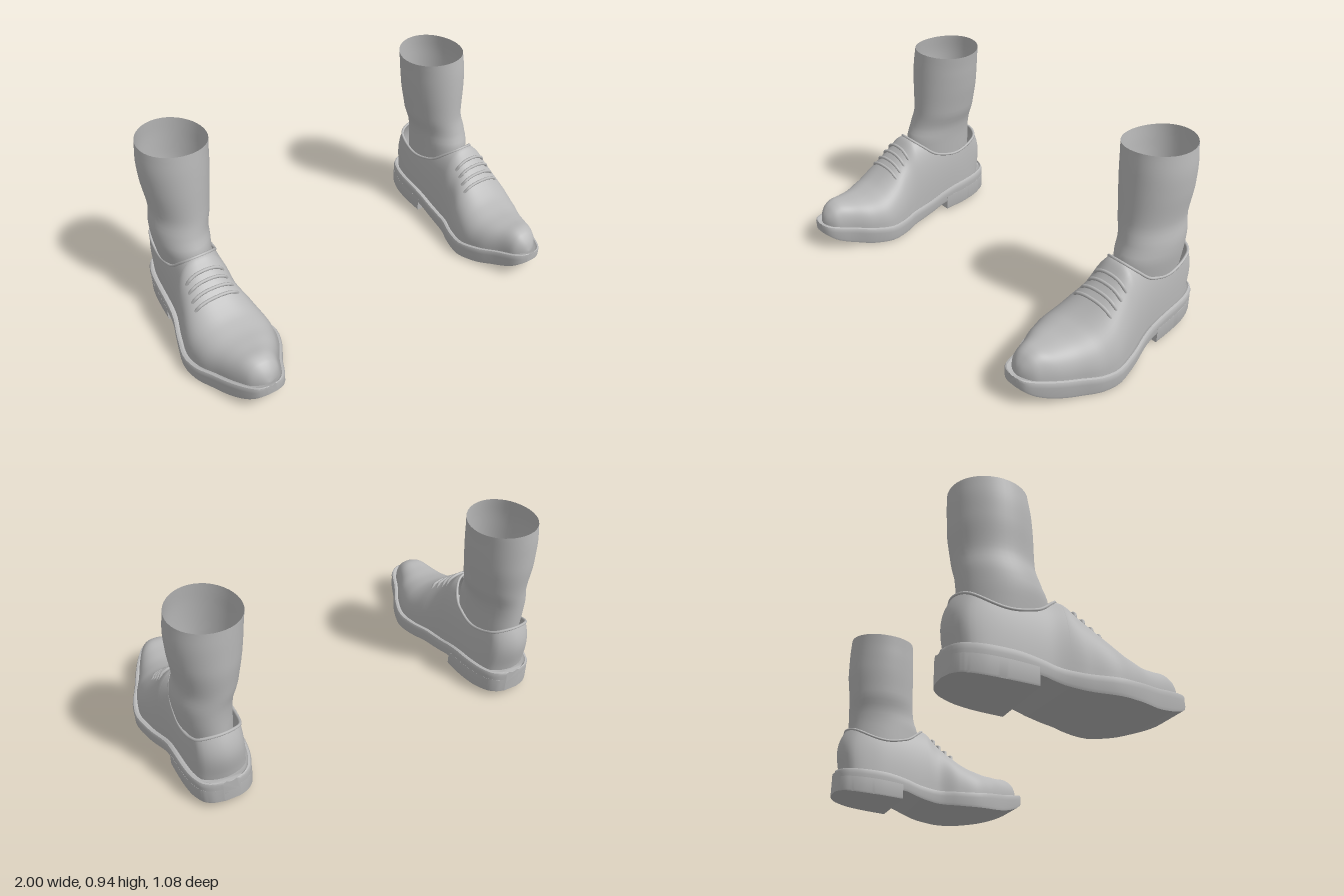
import * as THREE from 'three';
import { mergeVertices, toCreasedNormals } from 'three/addons/utils/BufferGeometryUtils.js';

const grey = new THREE.MeshStandardMaterial({ color: 0xb8b8b8, side: THREE.DoubleSide });
grey.name = 'plain grey';

// Smooth monotone curve through [position, value] pairs
function curve(p) {
  const n = p.length;
  const d = p.slice(1).map((q, i) => (q[1] - p[i][1]) / (q[0] - p[i][0]));
  const m = p.map((_, i) => {
    if (i === 0) return d[0];
    if (i === n - 1) return d[n - 2];
    return d[i - 1] * d[i] <= 0 ? 0 : (2 * d[i - 1] * d[i]) / (d[i - 1] + d[i]);
  });
  return (x) => {
    if (x <= p[0][0]) return p[0][1];
    if (x >= p[n - 1][0]) return p[n - 1][1];
    let i = 0;
    while (x > p[i + 1][0]) i++;
    const h = p[i + 1][0] - p[i][0], t = (x - p[i][0]) / h, t2 = t * t, t3 = t2 * t;
    return (2 * t3 - 3 * t2 + 1) * p[i][1] + (t3 - 2 * t2 + t) * h * m[i]
      + (3 * t2 - 2 * t3) * p[i + 1][1] + (t3 - t2) * h * m[i + 1];
  };
}

// Surface through rows of points; optionally closed around and capped at the ends
function loft(rows, { closed = false, caps = false } = {}) {
  const w = rows[0].length, index = [];
  for (let i = 0; i < rows.length - 1; i++) {
    for (let j = 0; j < (closed ? w : w - 1); j++) {
      const k = (j + 1) % w;
      const a = i * w + j, b = i * w + k, c = a + w, d = b + w;
      index.push(a, c, b, b, c, d);
    }
  }
  if (caps) {
    const e = (rows.length - 1) * w;
    for (let j = 1; j < w - 1; j++) index.push(0, j, j + 1, e, e + j + 1, e + j);
  }
  const g = new THREE.BufferGeometry();
  g.setAttribute('position', new THREE.Float32BufferAttribute(rows.flat(2), 3));
  g.setIndex(index);
  return g;
}

// Stations between a and b, packed closer towards both ends
const stations = (a, b, n) => Array.from({ length: n + 1 },
  (_, i) => a + (b - a) * (1 - Math.cos((Math.PI * i) / n)) / 2);

// Footprint of the sole and its upper and lower edges, along z
const innerX = curve([[-0.54, 0.72], [-0.525, 0.68], [-0.49, 0.645], [-0.4, 0.615], [-0.3, 0.605],
  [-0.1, 0.608], [0, 0.603], [0.1, 0.57], [0.2, 0.553], [0.3, 0.58], [0.4, 0.635], [0.5, 0.68],
  [0.525, 0.705], [0.537, 0.735]]);
const outerX = curve([[-0.54, 0.80], [-0.525, 0.85], [-0.49, 0.89], [-0.4, 0.92], [-0.3, 0.93],
  [-0.15, 0.937], [0, 0.976], [0.12, 1], [0.2, 0.987], [0.3, 0.945], [0.4, 0.905], [0.5, 0.85],
  [0.525, 0.825], [0.537, 0.79]]);
const soleTop = curve([[-0.54, 0.16], [-0.3, 0.148], [-0.2, 0.13], [-0.1, 0.1], [0, 0.085],
  [0.15, 0.082], [0.3, 0.1], [0.4, 0.12], [0.537, 0.152]]);
const soleBottom = curve([[-0.54, 0.085], [-0.2, 0.06], [-0.1, 0.03], [0, 0.01], [0.18, 0.002],
  [0.3, 0.01], [0.4, 0.03], [0.48, 0.06], [0.537, 0.1]]);
const heelBottom = curve([[-0.54, 0.04], [-0.4, 0.024], [-0.2, 0.013]]);

// Upper: ridge height (continued over the opening) and height of the opening's rim
const ridge = curve([[-0.51, 0.62], [-0.3, 0.5], [-0.12, 0.465], [-0.06, 0.455], [0, 0.4],
  [0.1, 0.315], [0.15, 0.28], [0.2, 0.255], [0.3, 0.235], [0.36, 0.235], [0.42, 0.24],
  [0.46, 0.228], [0.49, 0.2], [0.505, 0.175], [0.513, 0.145]]);
const rim = curve([[-0.51, 0.4], [-0.45, 0.372], [-0.3, 0.335], [-0.18, 0.362], [-0.1, 0.425],
  [-0.065, 0.456]]);
const POWER = 2.5, BACK = -0.508, MOUTH = -0.065, TOE = 0.513;

// Point on the upper at station z, side s (-1 or 1), v from welt (0) to top edge (1)
function upperPoint(z, s, v) {
  const base = soleTop(z) - 0.012, top = ridge(z);
  const end = Math.max(0, z > 0 ? (z - TOE + 0.05) / 0.05 : (BACK + 0.05 - z) / 0.05);
  const half = ((outerX(z) - innerX(z)) / 2 - 0.027) * Math.sqrt(Math.max(0, 1 - end * end));
  const cut = z < MOUTH ? Math.min(1, (rim(z) - base) / (top - base)) : 1;
  const angle = v * Math.asin(Math.pow(cut, POWER / 2));
  const x = Math.pow(Math.max(0, Math.cos(angle)), 2 / POWER);
  const y = Math.pow(Math.sin(angle), 2 / POWER);
  const back = Math.max(0, (-0.4 - z) / 0.108);
  const dz = back * (0.015 * v - 0.028 * Math.sin(Math.PI * v));
  return [(innerX(z) + outerX(z)) / 2 + s * half * (v === 1 && cut === 1 ? 0 : x),
    base + (top - base) * y, z + dz];
}

function upperGeometry() {
  const N = 16;
  const row = (z) => {
    const pts = [];
    for (let j = 0; j <= N; j++) pts.push(upperPoint(z, -1, j / N));
    for (let j = N; j >= 0; j--) pts.push(upperPoint(z, 1, j / N));
    return pts;
  };
  const g = loft([...stations(BACK, MOUTH, 26), ...stations(MOUTH, TOE, 44).slice(1)].map(row));
  // Leave the ankle opening uncovered
  const w = 2 * N + 2, keep = [], idx = g.index.array;
  for (let t = 0; t < idx.length; t += 6) {
    const a = idx[t];
    if (a % w === N && Math.floor(a / w) < 26) continue;
    keep.push(...idx.slice(t, t + 6));
  }
  g.setIndex(keep);
  const merged = mergeVertices(g, 1e-5);
  merged.computeVertexNormals();
  return merged;
}

// Slab following the footprint, with a rounded welt along its upper edge
function slab(z0, z1, bottom, top, welt) {
  const rows = stations(z0, z1, 48).map((z) => {
    const c = (innerX(z) + outerX(z)) / 2, h = (outerX(z) - innerX(z)) / 2;
    const b = bottom(z), t = top(z);
    const side = welt
      ? [[0.006, b], [0.002, b + 0.012], [0.003, t - 0.03], [0.001, t - 0.014], [0.006, t - 0.003], [0.016, t], [0.03, t - 0.008]]
      : [[0.004, b], [0.001, b + 0.008], [0.002, t]];
    return [...side.map(([inset, y]) => [c - h + inset, y, z]),
      ...side.slice().reverse().map(([inset, y]) => [c + h - inset, y, z])];
  });
  return toCreasedNormals(loft(rows, { closed: true, caps: true }), 0.75);
}

// Sock rings: height, centre x, radius x, front z, back z
function sockGeometry() {
  const rings = [[0.28, 0.77, 0.112, -0.09, -0.465], [0.36, 0.774, 0.12, -0.085, -0.472],
    [0.44, 0.777, 0.127, -0.088, -0.475], [0.5, 0.774, 0.13, -0.112, -0.478],
    [0.6, 0.752, 0.136, -0.132, -0.488], [0.75, 0.747, 0.155, -0.138, -0.503],
    [0.85, 0.742, 0.161, -0.144, -0.503], [0.937, 0.732, 0.16, -0.153, -0.5]];
  const f = [1, 2, 3, 4].map((k) => curve(rings.map((r) => [r[0], r[k]])));
  const rows = [];
  for (let i = 0; i <= 28; i++) {
    const y = 0.28 + (0.657 * i) / 28;
    const [cx, rx, zf, zb] = f.map((q) => q(y));
    rows.push(Array.from({ length: 40 }, (_, j) => {
      const a = (j / 40) * Math.PI * 2;
      const wave = (i / 28) ** 6 * (0.007 * Math.cos(a) - 0.004 * Math.cos(2 * a));
      return [cx + rx * Math.cos(a), y + wave, (zf + zb) / 2 + ((zf - zb) / 2) * Math.sin(a)];
    }));
  }
  const g = loft(rows, { closed: true });
  g.computeVertexNormals();
  return g;
}

const tube = (pts, r, closed, n) =>
  new THREE.TubeGeometry(new THREE.CatmullRomCurve3(pts, closed), n, r, 8, closed);

// Rolled edge around the ankle opening
function collarGeometry() {
  const zs = stations(BACK, MOUTH, 18);
  const edge = (s) => zs.map((z) => new THREE.Vector3(...upperPoint(z, s, 1)));
  return tube([...edge(-1).reverse(), ...edge(1).slice(1, -1)], 0.007, true, 100);
}

// Lace lying across the arch of the upper
function laceGeometry(z) {
  const [cx, top] = upperPoint(z, 1, 1), [ex, base] = upperPoint(z, 1, 0);
  const pts = [];
  for (let i = -6; i <= 6; i++) {
    const u = (i / 6) * 0.58;
    const y = base + (top - base) * Math.pow(1 - Math.pow(Math.abs(u), POWER), 1 / POWER);
    const lift = Math.abs(i) === 6 ? -0.006 : 0.006;
    pts.push(new THREE.Vector3(cx + u * (ex - cx), y + lift, z + lift * 0.6));
  }
  return tube(pts, 0.008, false, 30);
}

// Flip a geometry in x for the other foot and restore its winding
function mirrored(source) {
  const g = source.clone().scale(-1, 1, 1);
  const idx = g.index ? Array.from(g.index.array) : Array.from({ length: g.attributes.position.count }, (_, i) => i);
  for (let i = 0; i < idx.length; i += 3) [idx[i], idx[i + 1]] = [idx[i + 1], idx[i]];
  g.setIndex(idx);
  return g;
}

export function createModel() {
  const parts = [
    ['upper', upperGeometry()],
    ['collar', collarGeometry()],
    ['sole', slab(-0.54, 0.537, soleBottom, soleTop, true)],
    ['heel', slab(-0.54, -0.205, heelBottom, (z) => soleBottom(z) + 0.03, false)],
    ['sock', sockGeometry()],
    ...[-0.01, 0.023, 0.057, 0.09].map((z, i) => [`lace${i + 1}`, laceGeometry(z)]),
  ];
  const model = new THREE.Group();
  model.name = 'shoesAndSocks';
  for (const side of ['left', 'right']) {
    const foot = new THREE.Group();
    foot.name = `${side}Foot`;
    for (const [name, g] of parts) {
      const mesh = new THREE.Mesh(side === 'left' ? g : mirrored(g), grey);
      mesh.name = name;
      foot.add(mesh);
    }
    model.add(foot);
  }
  return model;
}
